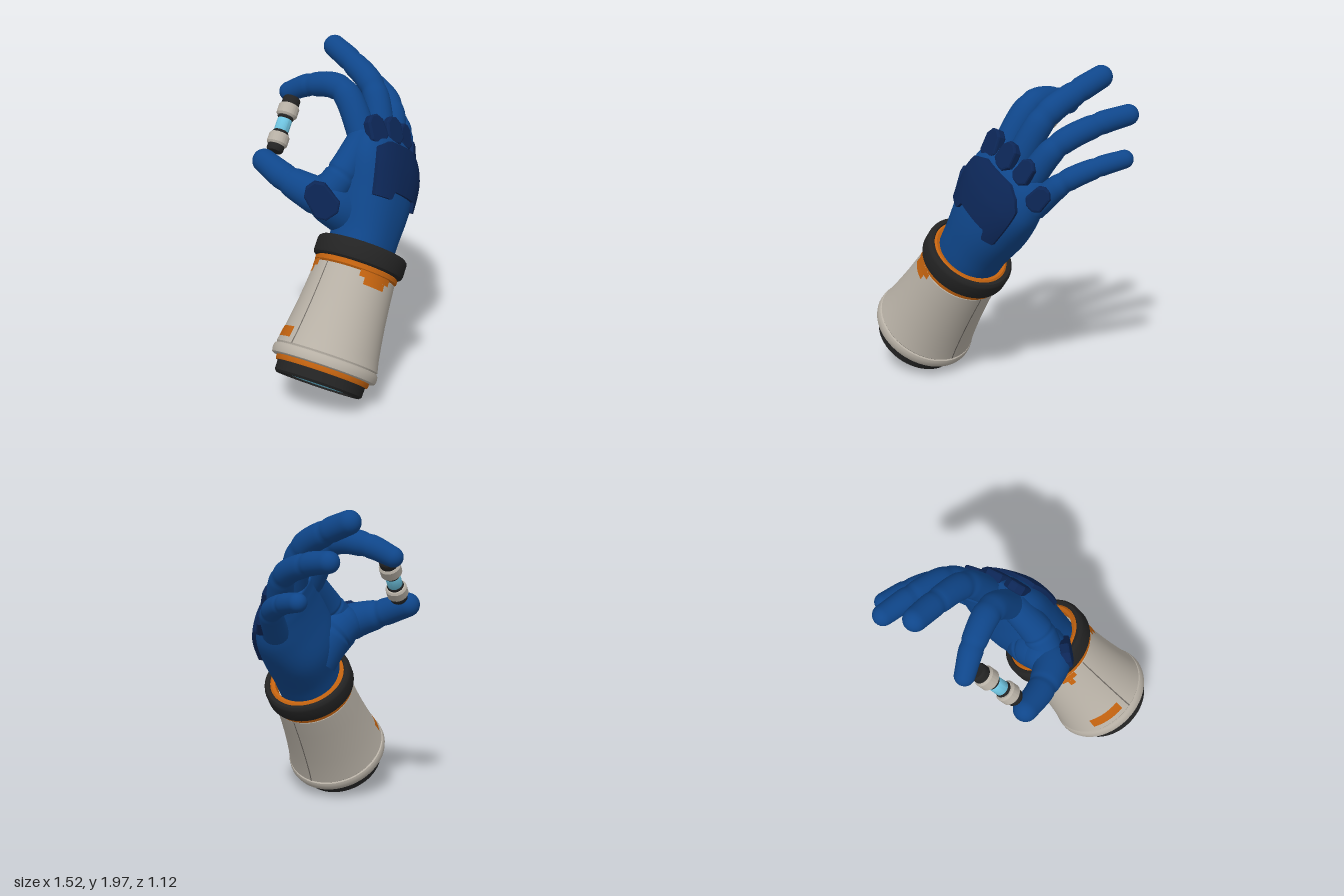
import * as THREE from 'three';
import { mergeVertices, toCreasedNormals } from 'three/addons/utils/BufferGeometryUtils.js';

const V = (x, y, z) => new THREE.Vector3(x, y, z);
const mat = (name, color) => new THREE.MeshStandardMaterial({ name, color });
const M = {
  blue: mat('glove blue', 0x0f468a), navy: mat('armour navy', 0x0c2656),
  cloth: mat('sleeve grey', 0xb7b0a5), orange: mat('trim orange', 0xc2620f),
  black: mat('rubber black', 0x232323), cyan: mat('glow cyan', 0x6fc4e0),
  seam: mat('seam grey', 0x6d6862),
};

function add(parent, name, geometry, material) {
  const mesh = new THREE.Mesh(geometry, material);
  mesh.name = name;
  parent.add(mesh);
  return mesh;
}

// Surface from fn(i, j); the outside is di x dj
function grid(ni, nj, fn) {
  const pos = [], idx = [];
  for (let j = 0; j <= nj; j++) for (let i = 0; i <= ni; i++) pos.push(...fn(i, j).toArray());
  for (let j = 0; j < nj; j++) for (let i = 0; i < ni; i++) {
    const a = j * (ni + 1) + i, d = a + ni + 1;
    idx.push(a, a + 1, d + 1, a, d + 1, d);
  }
  const g = new THREE.BufferGeometry();
  g.setAttribute('position', new THREE.Float32BufferAttribute(pos, 3));
  g.setIndex(idx);
  const merged = mergeVertices(g, 1e-5);
  merged.computeVertexNormals();
  return merged;
}

// Linear lookup through [x, y] pairs
function ramp(pairs, x) {
  for (let k = 1; k < pairs.length; k++) {
    const [x0, y0] = pairs[k - 1], [x1, y1] = pairs[k];
    if (x <= x1) return y0 + (y1 - y0) * Math.max(0, (x - x0) / (x1 - x0));
  }
  return pairs[pairs.length - 1][1];
}

// Finger: tapered tube with creased joints and a round tip; joints are [x, y, z, radius]
function finger(joints) {
  const curve = new THREE.CatmullRomCurve3(joints.map(p => V(p[0], p[1], p[2])));
  const S = 48, CAP = 8, n = joints.length - 1;
  const frames = curve.computeFrenetFrames(S);
  const radii = joints.map((p, i) => [i / n, p[3]]);
  return grid(24, S + CAP, (i, j) => {
    const row = Math.min(j, S), beta = Math.max(0, j - S) / CAP * Math.PI / 2;
    const t = curve.getUtoTmapping(row / S);
    let r = ramp(radii, t);
    for (let k = 1; k < n; k++) r *= 1 - 0.08 * Math.exp(-(((t - k / n) / 0.03) ** 2));
    const a = i / 24 * Math.PI * 2, rr = r * Math.cos(beta);
    return curve.getPointAt(row / S)
      .addScaledVector(frames.tangents[row], r * Math.sin(beta))
      .addScaledVector(frames.normals[row], rr * Math.cos(a))
      .addScaledVector(frames.binormals[row], rr * Math.sin(a));
  });
}

// Hand frame: across the knuckles, out of the back of the hand
const ACROSS = V(0.83, -0.56, 0).normalize(), OUT = V(0.084, 0.125, 0.985).normalize();
const handCentre = new THREE.CatmullRomCurve3([V(-0.13, 0.77, 0.185), V(-0.03, 0.93, 0.17),
  V(0.08, 1.11, 0.14), V(0.18, 1.29, 0.125), V(0.25, 1.42, 0.09), V(0.285, 1.49, 0.05)]);
const handSize = new THREE.CatmullRomCurve3([V(0.195, 0.185, 0), V(0.21, 0.19, 0),
  V(0.255, 0.2, 0), V(0.285, 0.165, 0), V(0.25, 0.125, 0), V(0.2, 0.085, 0)]);
const POWER = 2.3;

function handPoint(s, a, h) { // s: station 0..5, a and h: shares of half width and thickness
  const size = handSize.getPoint(s / 5);
  return handCentre.getPoint(s / 5).addScaledVector(ACROSS, a * size.x).addScaledVector(OUT, h * size.y);
}

function palm() {
  const e = x => Math.sign(x) * Math.abs(x) ** (2 / POWER);
  return grid(40, 34, (i, j) => {
    const t = i / 40 * Math.PI * 2, k = j > 30 ? Math.cos((j - 30) / 4 * Math.PI / 2) : 1;
    return handPoint(Math.min(j, 30) / 6, e(Math.sin(t)) * k, e(Math.cos(t)) * k);
  });
}

// Armour draped over the back of the hand, notched towards the wrist
function backPlate() {
  const top = [[-0.8, 3.45], [-0.52, 3.87], [0.38, 4.05], [0.66, 3.75], [0.78, 3.4]];
  const low = [[-0.8, 1.97], [-0.4, 2.0], [-0.34, 2.25], [0.48, 2.28], [0.54, 2.0], [0.8, 2.06]];
  const NI = 52, NJ = 26;
  const inner = (k, n) => Math.min(1, Math.max(0, (k - 1) / (n - 2)));
  const g = grid(NI, NJ, (i, j) => {
    const a = -0.8 + 1.58 * inner(i, NI);
    const s = THREE.MathUtils.lerp(ramp(low, a), ramp(top, a), inner(j, NJ));
    const rim = i === 0 || j === 0 || i === NI || j === NJ;
    const p = handPoint(s, a, (1 - Math.abs(a) ** POWER) ** (1 / POWER));
    return p.addScaledVector(OUT, rim ? -0.02 : 0.022).addScaledVector(ACROSS, rim ? 0 : a * 0.012);
  });
  return toCreasedNormals(g, 0.7);
}

// Chamfered knuckle guard
function guard(parent, name, w, h, at, normal, up) {
  const x = w / 2 - 0.012, y = h / 2 - 0.012, c = w * 0.22;
  const shape = new THREE.Shape([[-x + c, -y], [x - c, -y], [x, -y + c], [x * 0.85, y - c],
    [x * 0.85 - c, y], [c - x * 0.85, y], [-x * 0.85, y - c], [-x, -y + c]].map(p => new THREE.Vector2(...p)));
  const g = new THREE.ExtrudeGeometry(shape, { depth: 0.035, bevelSize: 0.012, bevelThickness: 0.012, bevelSegments: 2 });
  g.translate(0, 0, -0.025);
  const mesh = add(parent, name, g, M.navy);
  mesh.position.set(...at);
  mesh.up.set(...up).normalize();
  mesh.lookAt(V(...at).add(V(...normal)));
}

function lathe(points, from = 0, to = 360, material = null) {
  const rad = Math.PI / 180;
  const g = new THREE.LatheGeometry(points.map(p => new THREE.Vector2(...p)),
    Math.max(2, Math.round((to - from) / 6)), from * rad, (to - from) * rad);
  return toCreasedNormals(g, 0.6);
}

function forearm() {
  const arm = new THREE.Group();
  arm.name = 'forearm';
  arm.position.set(-0.545, 0.17, 0.25);
  arm.quaternion.setFromUnitVectors(V(0, 1, 0), V(0.57, 0.819, -0.075).normalize());
  add(arm, 'baseRing', lathe([[0, 0.012], [0.215, 0.012], [0.22, 0], [0.255, 0], [0.268, 0.012], [0.27, 0.075], [0.2, 0.08]]), M.black);
  const disc = add(arm, 'baseGlow', new THREE.CircleGeometry(0.17, 40), M.cyan);
  disc.rotation.x = Math.PI / 2;
  disc.position.y = 0.008;
  add(arm, 'baseTrim', lathe([[0.2, 0.07], [0.28, 0.07], [0.285, 0.08], [0.285, 0.11], [0.2, 0.115]]), M.orange);
  const side = [[0.312, 0.175], [0.298, 0.24], [0.283, 0.34], [0.27, 0.44], [0.258, 0.56], [0.25, 0.66], [0.247, 0.69]];
  add(arm, 'sleeve', lathe([[0.25, 0.1], [0.305, 0.1], [0.317, 0.107], [0.322, 0.125], [0.32, 0.15], [0.315, 0.162],
    [0.306, 0.166], ...side, [0.24, 0.698], [0.2, 0.7]]), M.cloth);
  add(arm, 'wristTrim', lathe([[0.19, 0.69], [0.238, 0.69], [0.255, 0.705], [0.255, 0.728], [0.237, 0.74], [0.237, 0.848],
    [0.225, 0.856], [0.205, 0.85], [0.198, 0.8]]), M.orange);
  add(arm, 'wristRing', lathe([[0.235, 0.735], [0.262, 0.735], [0.274, 0.745], [0.278, 0.76], [0.278, 0.83],
    [0.274, 0.845], [0.262, 0.856], [0.243, 0.856], [0.235, 0.845], [0.235, 0.735]]), M.black);
  // Sewn seams and orange markings lie just above the cloth
  const over = d => side.map(([r, y]) => [r + d, y]);
  for (const phi of [90, 264]) add(arm, 'sleeveSeam', lathe(over(0.002), phi - 0.8, phi + 0.8), M.seam);
  add(arm, 'sleeveStripe', lathe([[0.306, 0.205], [0.302, 0.235], [0.295, 0.27]], 214, 256), M.orange);
  for (const [a, b] of [[-46, 2], [222, 246]]) {
    add(arm, 'sleeveTab', lathe([[0.254, 0.66], [0.252, 0.7]], a, b), M.orange);
    add(arm, 'sleeveTabEnd', lathe([[0.258, 0.62], [0.254, 0.66]], a + 8, b - 8), M.orange);
  }
  return arm;
}

// Small vial pinched between thumb and index finger
function vial() {
  const group = new THREE.Group(), a = V(-0.215, 1.395, -0.385), b = V(0.005, 1.67, -0.437);
  group.name = 'vial';
  group.position.copy(a);
  group.quaternion.setFromUnitVectors(V(0, 1, 0), b.clone().sub(a).normalize());
  const bulge = (r, y0, y1) => lathe([[0, y0], [r * 0.85, y0], [r, y0 + 0.012], [r, y1 - 0.012], [r * 0.85, y1], [0, y1]]);
  for (const [name, m, r, y0, y1] of [
    ['vialEnd', M.black, 0.052, 0, 0.05], ['vialCap', M.cloth, 0.064, 0.04, 0.115],
    ['vialCollar', M.black, 0.05, 0.11, 0.135], ['vialGlass', M.cyan, 0.045, 0.125, 0.22],
    ['vialCollar', M.black, 0.05, 0.21, 0.235], ['vialCap', M.cloth, 0.064, 0.23, 0.308],
    ['vialEnd', M.black, 0.054, 0.3, 0.36]]) add(group, name, bulge(r, y0, y1), m);
  return group;
}

export function createModel() {
  const model = new THREE.Group();
  model.name = 'glovedHand';
  model.add(forearm(), vial());

  const hand = new THREE.Group();
  hand.name = 'hand';
  model.add(hand);
  add(hand, 'palm', palm(), M.blue);
  add(hand, 'backPlate', backPlate(), M.navy);

  const fingers = {
    indexFinger: [[0.09, 1.46, 0.08, 0.09], [0.115, 1.755, -0.13, 0.082], [0.085, 1.755, -0.35, 0.072], [0.045, 1.695, -0.5, 0.06]],
    middleFinger: [[0.225, 1.43, 0.09, 0.088], [0.32, 1.735, -0.06, 0.08], [0.365, 1.86, -0.27, 0.074], [0.39, 1.928, -0.43, 0.069]],
    ringFinger: [[0.33, 1.36, 0.09, 0.085], [0.46, 1.595, -0.03, 0.073], [0.545, 1.7, -0.26, 0.069], [0.605, 1.74, -0.445, 0.062]],
    littleFinger: [[0.39, 1.24, 0.08, 0.08], [0.545, 1.405, -0.01, 0.066], [0.645, 1.485, -0.17, 0.06], [0.712, 1.522, -0.315, 0.054]],
    thumb: [[-0.02, 1.03, 0.1, 0.15], [-0.225, 1.19, 0.0, 0.118], [-0.285, 1.275, -0.21, 0.086], [-0.285, 1.35, -0.4, 0.073]],
  };
  for (const [name, joints] of Object.entries(fingers)) add(hand, name, finger(joints), M.blue);
  // Web between thumb and index finger, and the fleshy heel of the thumb
  add(hand, 'thumbWeb', finger([[-0.2, 1.19, 0.0, 0.1], [-0.1, 1.31, 0.05, 0.1], [0.08, 1.5, 0.06, 0.085]]), M.blue);
  add(hand, 'thumbHeel', finger([[0.0, 1.0, 0.07, 0.13], [-0.09, 1.16, 0.01, 0.13], [-0.16, 1.2, -0.01, 0.12]]), M.blue);

  guard(hand, 'indexGuard', 0.14, 0.18, [0.1, 1.565, 0.15], [-0.05, 0.4, 0.9], [0.05, 1, -0.4]);
  guard(hand, 'middleGuard', 0.14, 0.17, [0.245, 1.525, 0.16], [0.05, 0.4, 0.9], [0.3, 1, -0.4]);
  guard(hand, 'ringGuard', 0.12, 0.16, [0.375, 1.455, 0.14], [0.2, 0.35, 0.9], [0.45, 0.9, -0.4]);
  guard(hand, 'littleGuard', 0.12, 0.16, [0.475, 1.315, 0.12], [0.5, 0.1, 0.8], [0.6, 0.8, -0.4]);
  guard(hand, 'thumbGuard', 0.17, 0.23, [-0.295, 1.21, 0.065], [-0.75, 0.15, 0.6], [-0.25, 0.8, -0.5]);
  return model;
}
